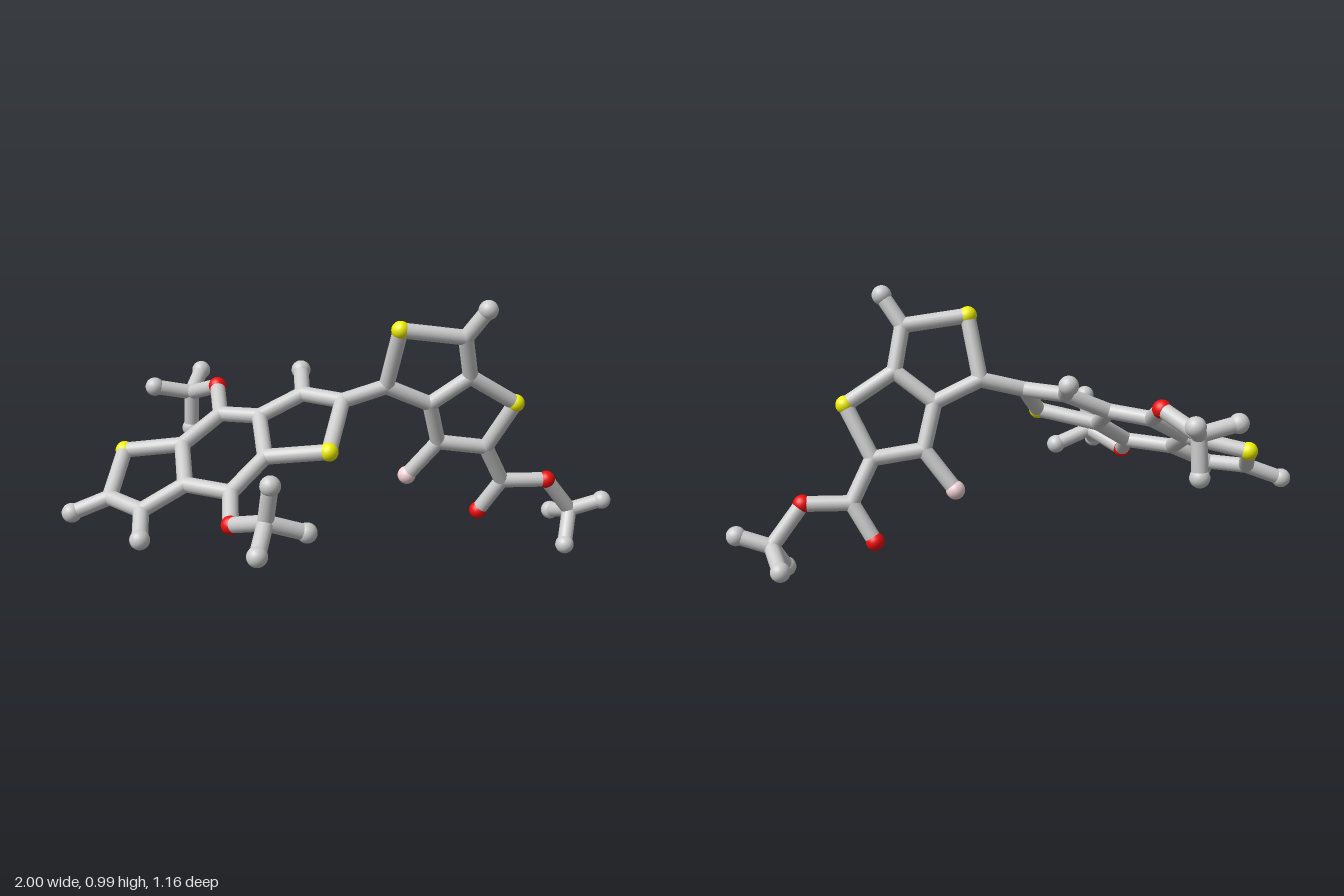
import * as THREE from 'three';

const STICK = 0.027;
const grey = new THREE.MeshStandardMaterial({ color: 0xcccccc });
const paint = (color) => {
  const m = new THREE.MeshStandardMaterial();
  m.color.set(color);
  return m;
};
// kind of node: ball radius, material and part name
const KINDS = {
  C: [STICK, grey, 'joint'],
  H: [0.034, grey, 'endBall'],
  S: [0.032, paint(0xf0f000), 'yellowBall'],
  O: [0.032, paint(0xf00c0c), 'redBall'],
  F: [0.033, paint(0xf2d2d6), 'pinkBall'],
};

// Nodes: the first letter of each key gives the kind
const NODES = {
  // flat three-ring plate on the right side
  H1: [-0.965, 0.28, -0.005], C1: [-0.835, 0.33, 0], S1: [-0.78, 0.438, -0.185],
  C2: [-0.58, 0.475, -0.10], C3: [-0.58, 0.39, 0.08], C4: [-0.73, 0.317, 0.11],
  H2: [-0.738, 0.257, 0.225], C5: [-0.44, 0.56, -0.17], C6: [-0.435, 0.39, 0.185],
  C7: [-0.31, 0.57, -0.085], C8: [-0.31, 0.48, 0.10], S2: [-0.105, 0.515, 0.19],
  C9: [-0.03, 0.636, 0], C10: [-0.155, 0.638, -0.105], H3: [-0.145, 0.695, -0.222],
  // back and front side arms
  O1: [-0.44, 0.627, -0.304], C11: [-0.53, 0.572, -0.435], H4: [-0.664, 0.602, -0.423],
  H5: [-0.487, 0.628, -0.545], H6: [-0.535, 0.432, -0.445],
  O2: [-0.445, 0.322, 0.307], C12: [-0.343, 0.37, 0.43], H7: [-0.328, 0.50, 0.455],
  H8: [-0.209, 0.32, 0.41], H9: [-0.381, 0.304, 0.543],
  // upright two-ring plate on the left side
  C13: [0.125, 0.677, -0.01], S3: [0.16, 0.888, 0.055], C14: [0.384, 0.857, 0.065],
  H10: [0.45, 0.957, 0.102], C15: [0.416, 0.707, 0.021], C16: [0.283, 0.605, -0.02],
  S4: [0.587, 0.60, 0.003], C17: [0.50, 0.424, -0.057], C18: [0.325, 0.45, -0.063],
  F1: [0.222, 0.316, -0.107],
  // hanging tail
  C19: [0.575, 0.28, -0.094], O3: [0.50, 0.153, -0.135], O4: [0.741, 0.279, -0.08],
  C20: [0.848, 0.143, -0.114], H11: [0.965, 0.18, -0.096], H12: [0.807, 0.038, -0.03],
  H13: [0.815, 0.097, -0.238],
};

// Each part is a set of chains; consecutive nodes are joined by a stick
const PARTS = {
  flatRings: ['C1 S1 C2 C3 C4 C1', 'C2 C5 C7 C8 C6 C3', 'C8 S2 C9 C10 C7',
    'H1 C1', 'H2 C4', 'H3 C10'],
  backArm: ['C5 O1 C11 H4', 'H5 C11 H6'],
  frontArm: ['C6 O2 C12 H7', 'H8 C12 H9'],
  linkStick: ['C9 C13'],
  uprightRings: ['C13 S3 C14 C15 C16 C13', 'C15 S4 C17 C18 C16', 'H10 C14', 'F1 C18'],
  tail: ['C17 C19 O4 C20 H11', 'C19 O3', 'H12 C20 H13'],
};

const UP = new THREE.Vector3(0, 1, 0);
const at = (key) => new THREE.Vector3(...NODES[key]);

function makeStick(from, to) {
  const a = at(from), d = at(to).sub(a);
  const stick = new THREE.Mesh(new THREE.CylinderGeometry(STICK, STICK, d.length(), 20, 1, true), grey);
  stick.position.copy(a).addScaledVector(d, 0.5);
  stick.quaternion.setFromUnitVectors(UP, d.normalize());
  stick.name = 'stick';
  return stick;
}

function makeBall(key) {
  const [radius, material, name] = KINDS[key[0]];
  const ball = new THREE.Mesh(new THREE.SphereGeometry(radius, 24, 16), material);
  ball.position.copy(at(key));
  ball.name = name;
  return ball;
}

export function createModel() {
  const model = new THREE.Group();
  model.name = 'ballAndStickModel';
  const placed = new Set();
  for (const [name, chains] of Object.entries(PARTS)) {
    const part = new THREE.Group();
    part.name = name;
    for (const chain of chains) {
      const keys = chain.split(' ');
      keys.forEach((key, i) => {
        if (i > 0) part.add(makeStick(keys[i - 1], key));
        if (!placed.has(key)) part.add(makeBall(key));
        placed.add(key);
      });
    }
    model.add(part);
  }
  return model;
}
